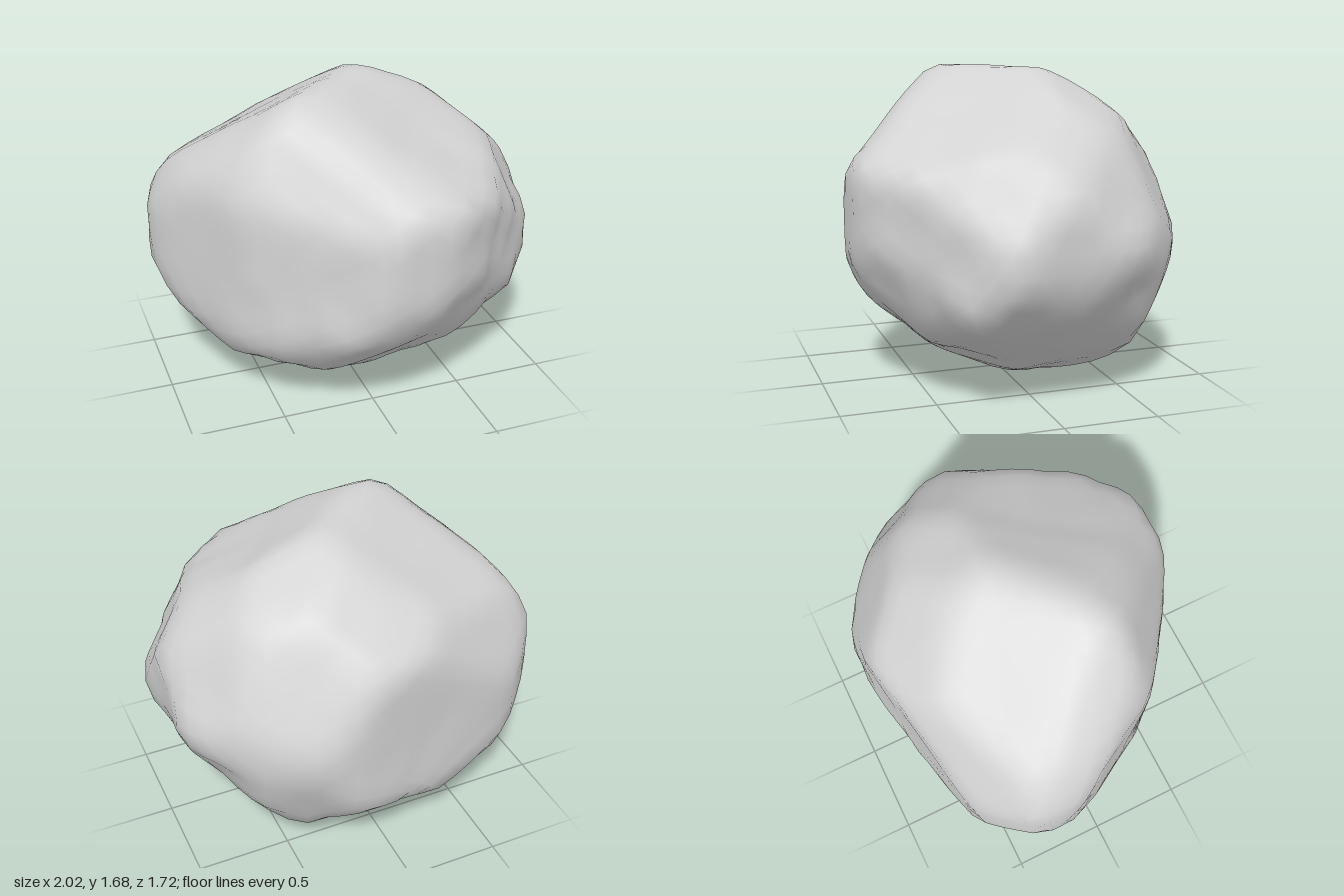
import * as THREE from 'three';
import { mergeVertices } from 'three/addons/utils/BufferGeometryUtils.js';

const S = Math.SQRT1_2, C = Math.cos(Math.PI / 6), D = S / 2;
const vec = (x, y, z) => new THREE.Vector3(x, y, z);

// Rings of flat faces: each lies in the plane of u and v and gives the
// distance from the middle to the face at every 30 degrees, starting at u
const RINGS = [
  { u: vec(1, 0, 0), v: vec(0, 1, 0), reach: [1, .96, .905, .83, .88, .94, 1, .965, .85, .83, .815, .935] },
  { u: vec(0, 0, 1), v: vec(0, 1, 0), reach: [.87, .91, .84, .83, .835, .885, .86, .95, .9, .83, .78, .83] },
  { u: vec(1, 0, 0), v: vec(0, 0, 1), reach: [1, .985, .905, .86, .77, .785, 1, 1.03, .945, .86, .935, 1.02] },
  { u: vec(S, 0, -S), v: vec(-D, C, -D), reach: [.97, .84, .825, .745, .86, .865, .77, .825, .8, .77, .825, .945] },
  { u: vec(-S, 0, S), v: vec(D, C, D), reach: [.77, .775, .82, .735, .86, .915, .97, .92, .885, .87, .885, .885] },
  { u: vec(-S, 0, -S), v: vec(D, C, -D), reach: [.98, .825, .79, .825, .9, .895, .89, .835, .765, .8, .925, 1.02] },
];

// Broad worn faces: the right front and the long back
const WORN_FACES = [
  { normal: vec(-.57, .05, .82), reach: .74 },
  { normal: vec(-.21, 0, -.98), reach: .79 },
];

// Every face as its normal divided by its distance
function facePlanes() {
  const planes = WORN_FACES.map(({ normal, reach }) => normal.clone().divideScalar(reach));
  for (const { u, v, reach } of RINGS) {
    reach.forEach((distance, i) => {
      const a = (i * Math.PI) / 6;
      const normal = u.clone().multiplyScalar(Math.cos(a)).addScaledVector(v, Math.sin(a));
      planes.push(normal.divideScalar(distance * 1.012)); // a little extra, lost again in rounding
    });
  }
  return planes;
}

// Uneven bumps, rougher on the underside and the left front
function bumps(d) {
  const wave = (f, p) =>
    Math.sin(f * d.x + 1.7 * Math.sin(f * 0.8 * d.y + p)) *
    Math.cos(f * d.z + 1.3 * Math.sin(f * 0.7 * d.x - p) + p);
  const rough = THREE.MathUtils.smoothstep(0.4 * d.x - 0.6 * d.y + 0.3 * d.z, -0.4, 0.5);
  return (0.004 + 0.004 * rough) * wave(5, 0.6) + (0.004 + 0.012 * rough) * wave(10, 2.1);
}

function boulderGeometry() {
  let geometry = new THREE.IcosahedronGeometry(1, 10);
  geometry.deleteAttribute('uv');
  geometry.deleteAttribute('normal');
  geometry = mergeVertices(geometry, 1e-4);

  // Push every point out to where the faces softly meet
  const planes = facePlanes(), power = 75;
  const position = geometry.attributes.position, d = new THREE.Vector3();
  for (let i = 0; i < position.count; i++) {
    d.fromBufferAttribute(position, i).normalize();
    let sum = 0;
    for (const plane of planes) sum += Math.max(0, d.dot(plane)) ** power;
    d.multiplyScalar(sum ** (-1 / power) * (1 + bumps(d)));
    position.setXYZ(i, d.x, d.y, d.z);
  }

  // Stand it on the ground
  geometry.center();
  geometry.translate(0, -geometry.boundingBox.min.y, 0);
  geometry.computeVertexNormals();
  return geometry;
}

export function createModel() {
  const stone = new THREE.MeshStandardMaterial({ color: 0xd3d3d3 });
  stone.name = 'pale stone';
  const boulder = new THREE.Mesh(boulderGeometry(), stone);
  boulder.name = 'boulder';
  const group = new THREE.Group();
  group.name = 'rock';
  group.add(boulder);
  return group;
}
